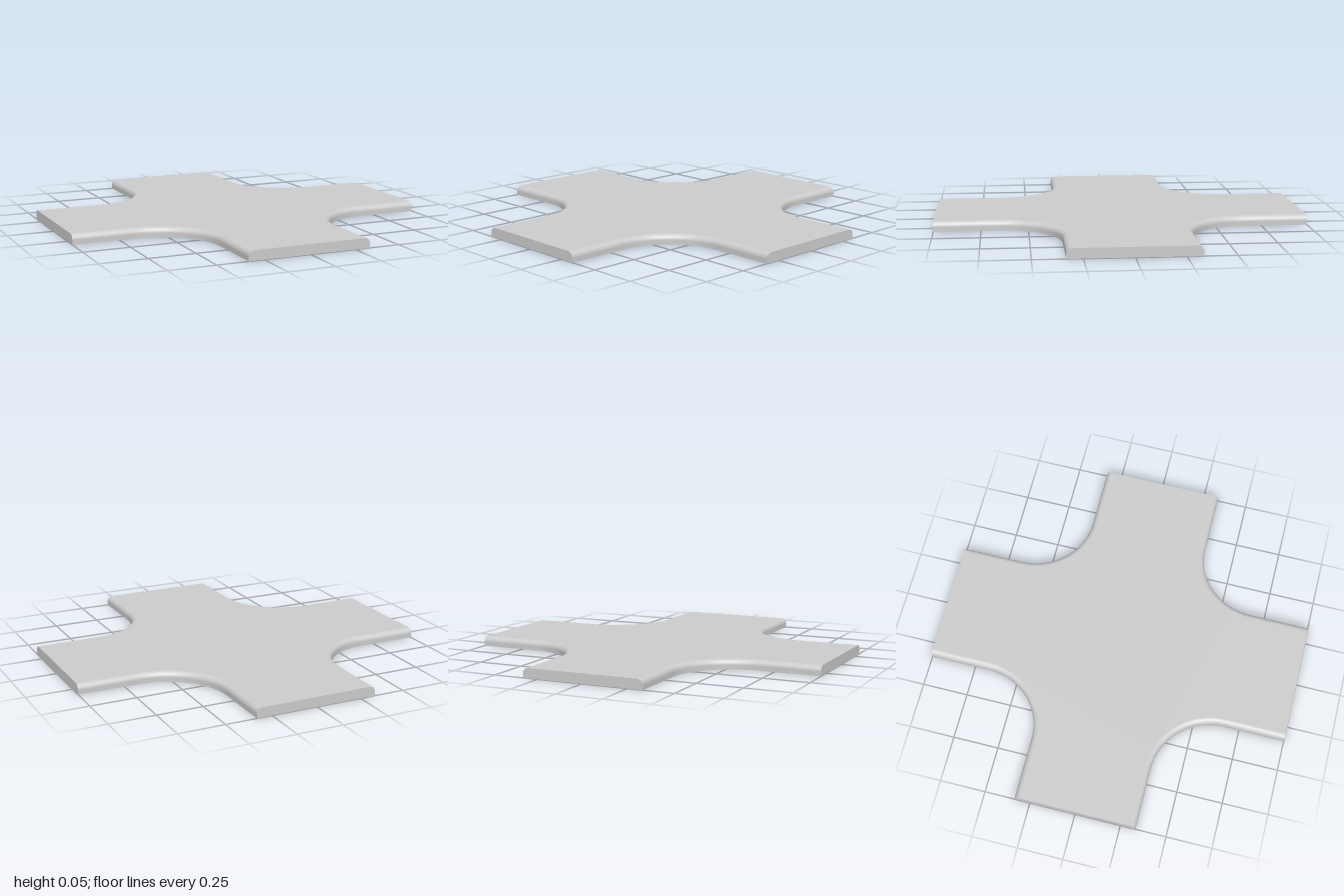
import * as THREE from 'three';

const H = 0.053;      // plate thickness
const W = 1 / 3;      // half width of an arm
const R = 0.03;       // rounding of the upper side edges
const C = 2 / 3;      // centre of each concave corner arc
const ARC = 16, ROUND = 8;

// Side profile: inset d, height y, normal tilt a
const profile = [{ d: 0, y: 0, a: 0 }];
for (let i = 0; i <= ROUND; i++) {
  const a = (i / ROUND) * Math.PI / 2;
  profile.push({ d: R * (1 - Math.cos(a)), y: H - R + R * Math.sin(a), a });
}

// One corner edge from arm end to arm end, inset by d: [x, z, normalX, normalZ]
function cornerPath(d) {
  const pts = [[W - d, 1, 1, 0]];
  for (let i = 0; i <= ARC; i++) {
    const t = Math.PI * (1 + 0.5 * i / ARC);
    const c = Math.cos(t), s = Math.sin(t), r = C - W + d;
    pts.push([C + r * c, C + r * s, -c, -s]);
  }
  pts.push([1, W - d, 0, 1]);
  return pts;
}

// Rounded side wall swept along one corner
function edgeGeometry() {
  const pos = [], nor = [], idx = [], n = ARC + 3;
  profile.forEach(({ d, y, a }, j) => {
    cornerPath(d).forEach(([x, z, nx, nz], i) => {
      pos.push(x, y, z);
      nor.push(nx * Math.cos(a), Math.sin(a), nz * Math.cos(a));
      if (j < profile.length - 1 && i < n - 1) {
        const p = j * n + i, q = p + n;
        idx.push(p, p + 1, q + 1, p, q + 1, q);
      }
    });
  });
  const g = new THREE.BufferGeometry();
  g.setAttribute('position', new THREE.Float32BufferAttribute(pos, 3));
  g.setAttribute('normal', new THREE.Float32BufferAttribute(nor, 3));
  g.setIndex(idx);
  return g;
}

// Flat cross outline, inset by d
function crossGeometry(d) {
  const pts = [];
  for (let k = 0; k < 4; k++) {
    for (const [x, z] of cornerPath(d)) {
      pts.push(new THREE.Vector2(x, z).rotateAround(new THREE.Vector2(), -k * Math.PI / 2));
    }
  }
  return new THREE.ShapeGeometry(new THREE.Shape(pts));
}

// Flat end face of an arm, following the side profile
function endGeometry() {
  const right = profile.map(({ d, y }) => new THREE.Vector2(W - d, y));
  const left = profile.map(({ d, y }) => new THREE.Vector2(d - W, y)).reverse();
  return new THREE.ShapeGeometry(new THREE.Shape([...right, ...left])).translate(0, 0, 1);
}

export function createModel() {
  const model = new THREE.Group();
  model.name = 'crossPlate';
  const material = new THREE.MeshStandardMaterial({ color: 0xcccccc });
  const add = (name, geometry, turn = 0) => {
    const mesh = new THREE.Mesh(geometry, material);
    mesh.name = name;
    mesh.rotation.y = turn;
    model.add(mesh);
  };

  // Top and underside
  add('topSurface', crossGeometry(R).rotateX(-Math.PI / 2).translate(0, H, 0));
  add('underside', crossGeometry(0).rotateX(Math.PI / 2));

  // Four rounded corner edges and four arm ends
  const edge = edgeGeometry(), end = endGeometry();
  for (let k = 0; k < 4; k++) {
    add('cornerEdge' + (k + 1), edge, k * Math.PI / 2);
    add('armEnd' + (k + 1), end, k * Math.PI / 2);
  }
  return model;
}
